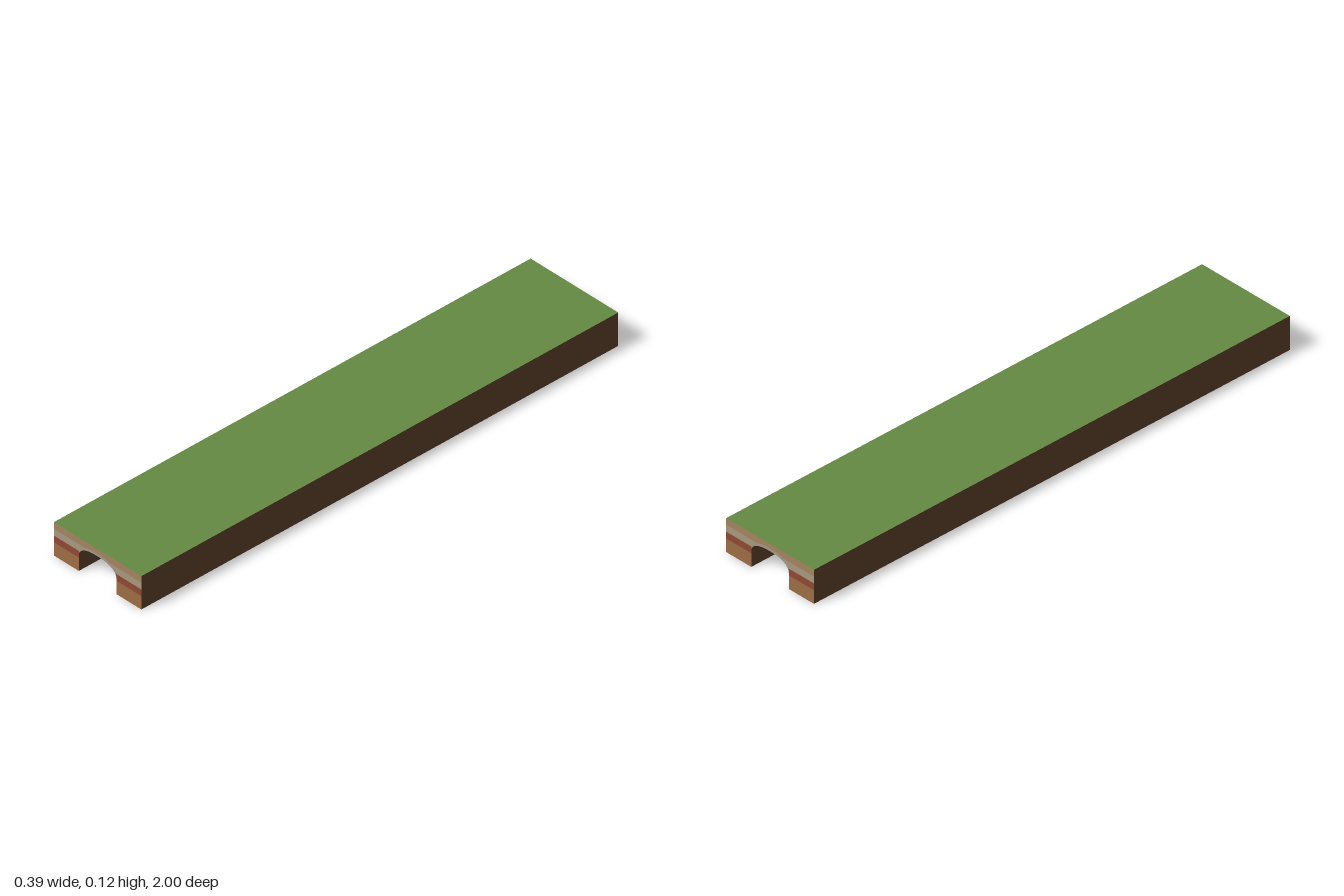
import * as THREE from 'three';

const W = 0.194, H = 0.125, L = 2;
const R = 0.083; // tunnel half width

const mat = (color) => new THREE.MeshStandardMaterial({ color, side: THREE.DoubleSide });

// Flattened arch from +x to -x, springing at height base
function archCurve(base, rise = 0.043, n = 40) {
  const e = 2 / 2.4;
  return Array.from({ length: n + 1 }, (_, i) => {
    const a = (i / n) * Math.PI, c = Math.cos(a);
    return new THREE.Vector2(
      R * Math.sign(c) * Math.pow(Math.abs(c), e),
      base + rise * Math.pow(Math.max(0, Math.sin(a)), e));
  });
}

// Half width of the end opening at height y
function openingX(y) {
  const t = Math.max(0, (y - 0.065) / 0.043);
  return t >= 1 ? 0 : R * Math.pow(1 - Math.pow(t, 2.4), 1 / 2.4);
}

export function createModel() {
  const model = new THREE.Group();
  const add = (parent, name, geometry, material) => {
    const mesh = new THREE.Mesh(geometry, material);
    mesh.name = name;
    parent.add(mesh);
    return mesh;
  };

  const earth = mat(0x64442f);

  // Grass deck
  const deck = add(model, 'grassTop', new THREE.PlaneGeometry(2 * W, L), mat(0x668a44));
  deck.rotation.x = -Math.PI / 2;
  deck.position.y = H;

  // Long outer walls
  for (const s of [1, -1]) {
    const wall = add(model, s > 0 ? 'leftWall' : 'rightWall', new THREE.PlaneGeometry(L, H), earth);
    wall.rotation.y = s * Math.PI / 2;
    wall.position.set(s * W, H / 2, 0);
  }

  // Tunnel lining: a strip bent along the arch, legs down to the ground
  const inner = archCurve(0.055);
  const path = [new THREE.Vector2(R, 0), ...inner, new THREE.Vector2(-R, 0)];
  const lining = new THREE.PlaneGeometry(1, L, path.length - 1, 1);
  const pos = lining.attributes.position;
  for (let i = 0; i < pos.count; i++) {
    const p = path[i % path.length];
    pos.setXYZ(i, p.x, p.y, pos.getY(i));
  }
  lining.computeVertexNormals();
  add(model, 'tunnelLining', lining, earth);

  // Layered end faces, cut by the opening
  const outer = archCurve(0.065);
  const layers = [
    ['clayLayer', 0, 0.05, mat(0x9f6e44)],
    ['redLayer', 0.05, 0.075, mat(0x8f4a33)],
    ['stoneLayer', 0.075, 0.1, mat(0xa89a80)],
    ['soilLayer', 0.1, H, mat(0xa58660)],
  ];
  const trimMaterial = mat(0xa39a86);
  for (const front of [true, false]) {
    const end = new THREE.Group();
    end.name = front ? 'frontEnd' : 'backEnd';
    end.position.z = front ? L / 2 : -L / 2;
    end.rotation.y = front ? 0 : Math.PI;
    model.add(end);

    for (const [name, y0, y1, material] of layers) {
      const edge = outer.filter((p) => p.x > 1e-4 && p.y > y0 + 1e-4 && p.y < y1 - 1e-4).reverse();
      const half = [
        new THREE.Vector2(W, y0), new THREE.Vector2(W, y1),
        new THREE.Vector2(openingX(y1), y1),
        ...(y1 > 0.108 ? [new THREE.Vector2(0, 0.108)] : []),
        ...edge,
        new THREE.Vector2(openingX(y0), y0),
      ];
      for (const s of [1, -1]) {
        const shape = new THREE.Shape(half.map((p) => new THREE.Vector2(s * p.x, p.y)));
        add(end, name, new THREE.ShapeGeometry(shape), material);
      }
    }

    // Crescent between the opening and the lining
    const crescent = new THREE.Shape([...outer, ...inner.slice().reverse()]);
    add(end, 'archTrim', new THREE.ShapeGeometry(crescent), trimMaterial);
  }
  return model;
}
